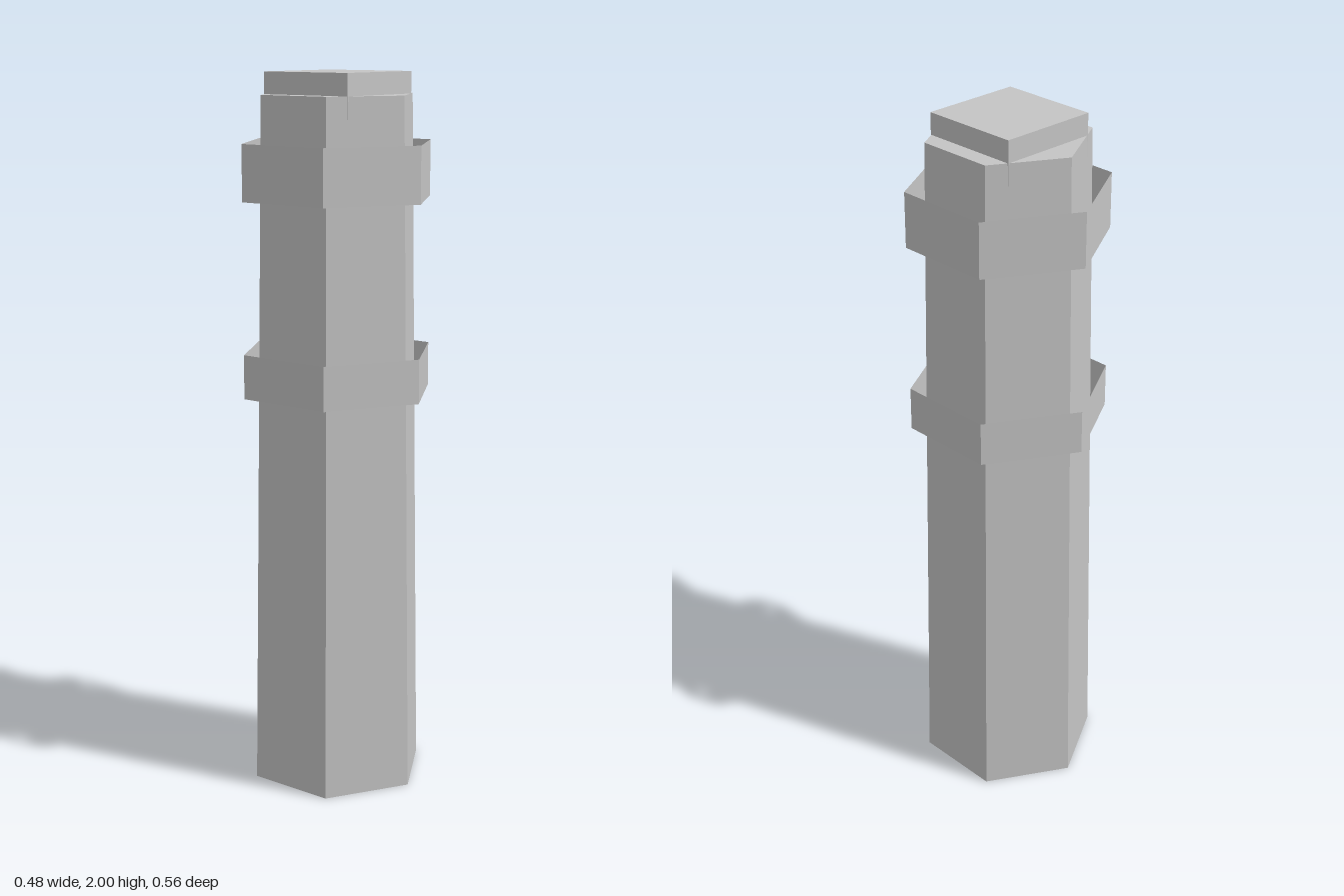
import * as THREE from 'three';

export function createModel() {
  const group = new THREE.Group();
  const stone = new THREE.MeshStandardMaterial({ color: 0xc4c4c4, flatShading: true, side: THREE.DoubleSide });
  stone.name = 'greyStone';

  const add = (name, geometry, y) => {
    const mesh = new THREE.Mesh(geometry, stone);
    mesh.name = name;
    mesh.position.y = y;
    group.add(mesh);
  };

  // Six-sided prism between two heights, corners on the z axis
  const prism = (name, topRadius, bottomRadius, y0, y1, open) =>
    add(name, new THREE.CylinderGeometry(topRadius, bottomRadius, y1 - y0, 6, 1, open), (y0 + y1) / 2);

  // Tapered shaft
  prism('shaft', 0.222, 0.253, 0, 1.94, false);

  // Open collars standing clear of the shaft
  prism('lowerCollar', 0.278, 0.278, 1.117, 1.24, true);
  prism('upperCollar', 0.278, 0.278, 1.657, 1.812, true);

  // Square cap sunk into the top, its corners just breaking the shaft sides
  add('cap', new THREE.BoxGeometry(0.284, 0.12, 0.284), 1.94);

  return group;
}
